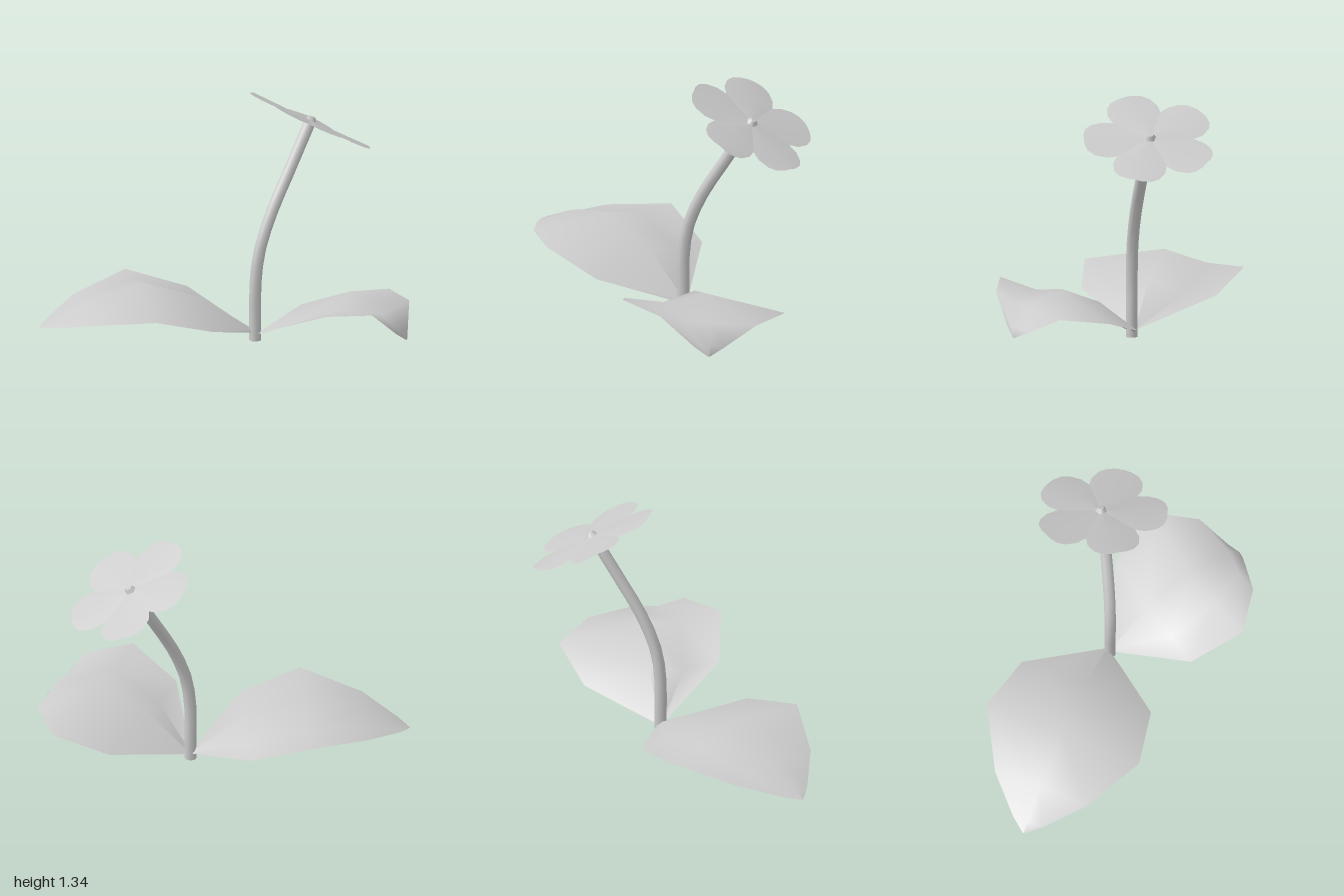
import * as THREE from 'three';

const material = new THREE.MeshStandardMaterial({ color: 0xcccccc, side: THREE.DoubleSide });

function addMesh(parent, geometry, name) {
  const mesh = new THREE.Mesh(geometry, material);
  mesh.name = name;
  parent.add(mesh);
  return mesh;
}

// Smooth sheet from cross rows of points, left to right, base to tip
function sheet(rows) {
  const index = [];
  const cols = rows[0].length;
  for (let i = 0; i < rows.length - 1; i++) {
    for (let j = 0; j < cols - 1; j++) {
      const a = i * cols + j, c = a + cols;
      index.push(a, a + 1, c, a + 1, c + 1, c);
    }
  }
  const geometry = new THREE.BufferGeometry();
  geometry.setAttribute('position', new THREE.Float32BufferAttribute(rows.flat(2), 3));
  geometry.setIndex(index);
  geometry.computeVertexNormals();
  return geometry;
}

export function createModel() {
  const model = new THREE.Group();
  model.name = 'flower';

  // Bent stem with a closed foot
  const path = new THREE.CatmullRomCurve3([
    [0.188, 0, -0.065], [0.188, 0.15, -0.065], [0.188, 0.3, -0.065], [0.213, 0.5, -0.075],
    [0.285, 0.7, -0.112], [0.404, 0.93, -0.18], [0.525, 1.16, -0.252],
  ].map((p) => new THREE.Vector3(...p)));
  addMesh(model, new THREE.TubeGeometry(path, 12, 0.033, 8), 'stem');
  const foot = addMesh(model, new THREE.CircleGeometry(0.033, 8), 'stemFoot');
  foot.rotation.x = Math.PI / 2;
  foot.position.set(0.188, 0.001, -0.065);

  // Wide leaf arching to the side: [x, half width, ridge, hollow and edge heights]
  const ridgeZ = -0.08;
  const sideRows = [
    [0.185, 0.012, 0.05, 0.042, 0.04], [-0.11, 0.378, 0.26, 0.198, 0.19],
    [-0.44, 0.445, 0.365, 0.298, 0.288], [-0.76, 0.265, 0.272, 0.236, 0.228],
    [-0.94, 0.085, 0.178, 0.168, 0.165], [-1, 0.004, 0.145, 0.144, 0.143],
  ].map(([x, w, ridge, hollow, edge]) => [
    [x, edge, ridgeZ + w], [x, ridge, ridgeZ], [x, hollow, ridgeZ - 0.55 * w], [x, edge, ridgeZ - w],
  ]);
  addMesh(model, sheet(sideRows), 'sideLeaf');

  // Second leaf, turned to the front and twisted with a drooping tip
  addMesh(model, sheet([
    [[0.2, 0.03, -0.08], [0.197, 0.032, -0.07], [0.192, 0.033, -0.06], [0.185, 0.033, -0.05]],
    [[0.64, 0.125, -0.22], [0.42, 0.23, 0.055], [0.335, 0.178, 0.23], [0.23, 0.22, 0.39]],
    [[0.94, 0.215, -0.14], [0.66, 0.338, 0.2], [0.555, 0.305, 0.39], [0.45, 0.345, 0.6]],
    [[1.0, 0.235, 0.12], [0.88, 0.275, 0.34], [0.785, 0.28, 0.44], [0.71, 0.32, 0.555]],
    [[0.955, 0.145, 0.31], [0.93, 0.17, 0.385], [0.9, 0.163, 0.42], [0.865, 0.165, 0.45]],
    [[0.935, 0.11, 0.395], [0.933, 0.11, 0.398], [0.93, 0.111, 0.401], [0.928, 0.112, 0.404]],
  ]), 'frontLeaf');

  // Tilted flower head
  const head = new THREE.Group();
  head.name = 'flowerHead';
  head.position.set(0.53, 1.168, -0.26);
  head.quaternion.setFromUnitVectors(
    new THREE.Vector3(0, 1, 0), new THREE.Vector3(0.53, 1, -0.2).normalize());
  model.add(head);

  // Five broad petals with slightly lowered sides: [distance, half width]
  const petal = sheet([
    [0, 0.004], [0.1, 0.073], [0.19, 0.138], [0.25, 0.145], [0.31, 0.125], [0.345, 0.09], [0.36, 0.04],
  ].map(([r, w]) => [[-w, -0.08 * w, -r], [0, 0, -r], [w, -0.08 * w, -r]]));
  for (let i = 0; i < 5; i++) {
    addMesh(head, petal, 'petal').rotation.y = -THREE.MathUtils.degToRad(16 + 72 * i);
  }

  // Small five-sided bead in the middle
  const bead = addMesh(head, new THREE.CylinderGeometry(0.018, 0.034, 0.024, 5), 'flowerCentre');
  bead.position.y = 0.01;

  return model;
}
